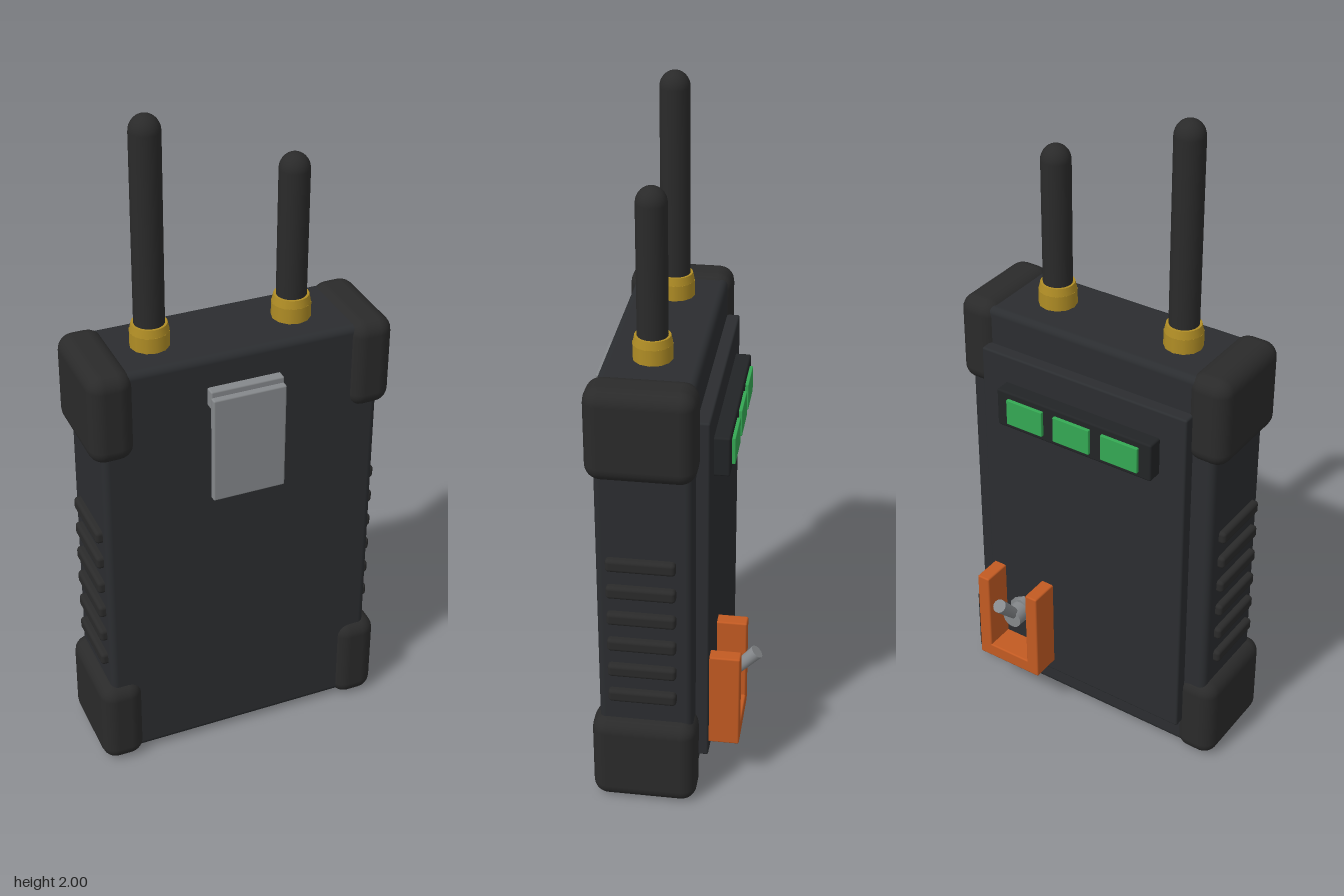
import * as THREE from 'three';
import { RoundedBoxGeometry } from 'three/addons/geometries/RoundedBoxGeometry.js';

const paint = (color) => new THREE.MeshStandardMaterial({ color });

export function createModel() {
  const model = new THREE.Group();
  const shell = paint(0x2b2d30), rubber = paint(0x2a2a2a), black = paint(0x222426);
  const brass = paint(0xb08d25), steel = paint(0x85888b);
  const orange = paint(0xc25a22), green = paint(0x34a853);

  const add = (name, geometry, material, x = 0, y = 0, z = 0) => {
    const mesh = new THREE.Mesh(geometry, material);
    mesh.name = name;
    mesh.position.set(x, y, z);
    model.add(mesh);
    return mesh;
  };
  // Box given by its limits on each axis, with softened edges
  const block = (name, material, [x0, x1], [y0, y1], [z0, z1], r = 0.005, seg = 2) =>
    add(name, new RoundedBoxGeometry(x1 - x0, y1 - y0, z1 - z0, seg, r), material,
      (x0 + x1) / 2, (y0 + y1) / 2, (z0 + z1) / 2);

  // Case and raised back panel
  block('case', shell, [-0.412, 0.412], [0.015, 1.337], [-0.068, 0.203], 0.02, 3);
  block('backPanel', shell, [-0.343, 0.343], [0.11, 1.225], [-0.105, -0.05], 0.006);

  // Rubber corner guards and side grip ribs
  for (const s of [-1, 1]) {
    const side = s < 0 ? 'right' : 'left';
    const span = (a, b) => (s < 0 ? [-b, -a] : [a, b]);
    block(side + 'LowerCorner', rubber, span(0.318, 0.447), [0, 0.28], [-0.08, 0.225], 0.045, 3);
    block(side + 'UpperCorner', rubber, span(0.318, 0.447), [1.075, 1.35], [-0.08, 0.225], 0.045, 3);
    for (let i = 0; i < 6; i++) {
      const y = 0.366 + i * 0.0885;
      block(side + 'GripRib', rubber, span(0.395, 0.432), [y - 0.02, y + 0.02], [-0.023, 0.173], 0.011, 3);
    }
  }

  // Antennas: hex nut, round collar and a domed whip
  const antennaZ = 0.07;
  for (const [name, x, top] of [['right', -0.222, 2], ['left', 0.197, 1.825]]) {
    add(name + 'AntennaNut', new THREE.CylinderGeometry(0.056, 0.056, 0.05, 12), brass, x, 1.358, antennaZ);
    add(name + 'AntennaCollar', new THREE.CylinderGeometry(0.05, 0.055, 0.024, 24), brass, x, 1.394, antennaZ);
    const profile = [new THREE.Vector2(0.043, 1.38)];
    for (let i = 0; i <= 8; i++) {
      const a = (i / 8) * Math.PI / 2;
      profile.push(new THREE.Vector2(0.043 * Math.cos(a), top - 0.046 * (1 - Math.sin(a))));
    }
    add(name + 'Antenna', new THREE.LatheGeometry(profile, 24), rubber, x, 0, antennaZ);
  }

  // Belt clip on the front
  block('clipMount', steel, [-0.108, 0.108], [1.19, 1.246], [0.195, 0.23], 0.005);
  block('clipPlate', steel, [-0.108, 0.108], [0.9, 1.228], [0.225, 0.248], 0.005);

  // Indicator bar with three lit windows on the back
  block('indicatorBar', black, [-0.26, 0.26], [1.018, 1.138], [-0.15, -0.095], 0.006);
  for (const x of [-0.16, 0, 0.16])
    block('indicatorWindow', green, [x - 0.061, x + 0.061], [1.037, 1.118], [-0.16, -0.145], 0.002, 1);

  // U-shaped switch guard
  const guardZ = [-0.194, -0.1];
  block('guardSide', orange, [0.11, 0.152], [0.17, 0.455], guardZ, 0.005);
  block('guardSide', orange, [0.288, 0.33], [0.17, 0.455], guardZ, 0.005);
  block('guardBase', orange, [0.11, 0.33], [0.15, 0.195], guardZ, 0.005);

  // Toggle switch: bushing, nut and a lever tilted upward
  const bushing = add('switchBushing', new THREE.CylinderGeometry(0.032, 0.032, 0.07, 20), steel, 0.22, 0.32, -0.138);
  bushing.rotation.x = -Math.PI / 2;
  const nut = add('switchNut', new THREE.CylinderGeometry(0.042, 0.042, 0.025, 6), steel, 0.22, 0.32, -0.115);
  nut.rotation.x = -Math.PI / 2;
  const from = new THREE.Vector3(0.22, 0.315, -0.145), to = new THREE.Vector3(0.22, 0.41, -0.232);
  const lever = add('switchLever', new THREE.CylinderGeometry(0.021, 0.016, from.distanceTo(to), 16), steel);
  lever.position.copy(from).add(to).multiplyScalar(0.5);
  lever.quaternion.setFromUnitVectors(new THREE.Vector3(0, 1, 0), to.clone().sub(from).normalize());

  return model;
}
